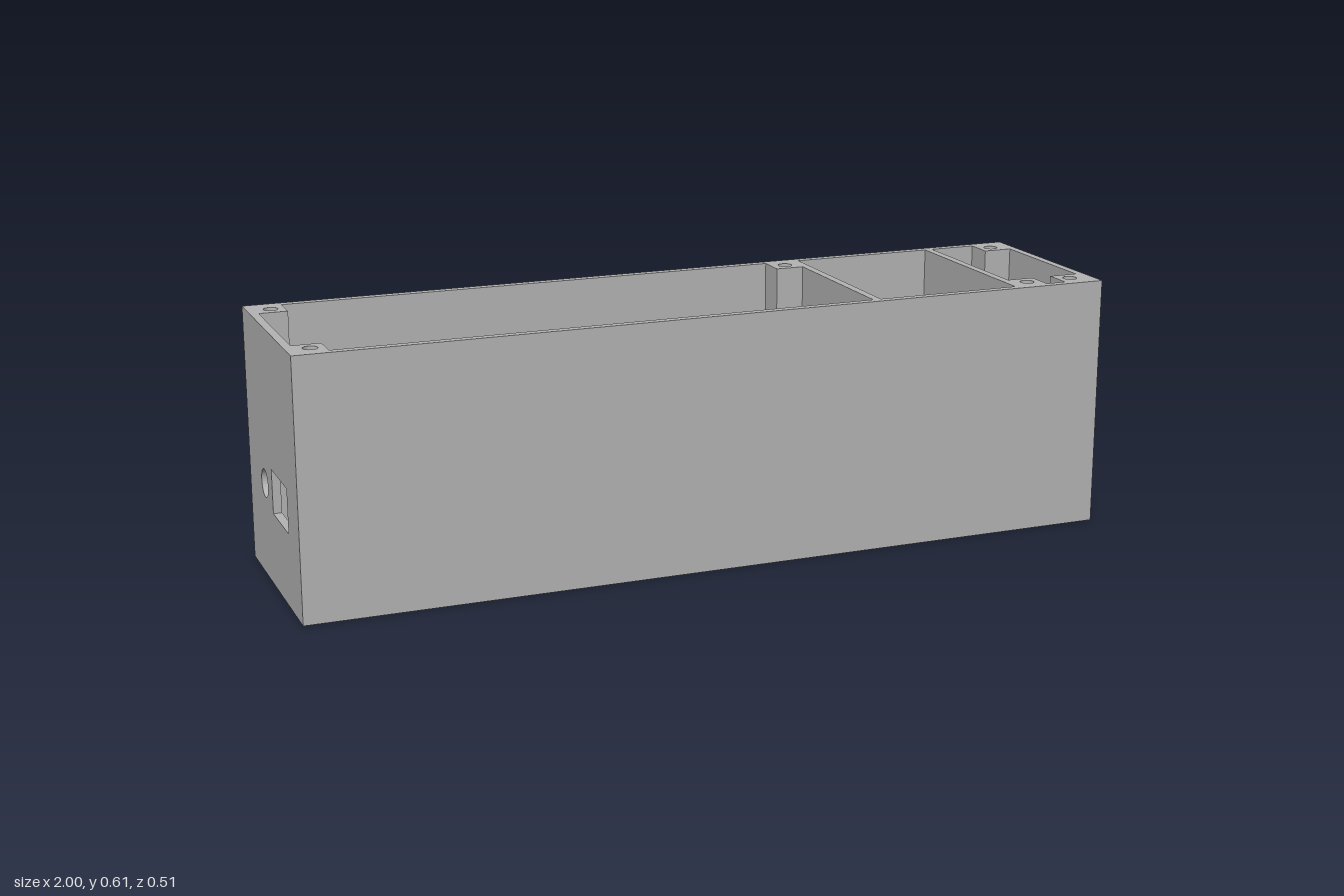
import * as THREE from 'three';

const H = 0.613, X = 1, Z = 0.253, T = 0.02; // height, half length, half depth, wall thickness

export function createModel() {
  const group = new THREE.Group();
  const grey = new THREE.MeshStandardMaterial({ color: 0xb4b4b4 });
  grey.name = 'plain grey';

  const add = (name, geometry) => {
    const mesh = new THREE.Mesh(geometry, grey);
    mesh.name = name;
    group.add(mesh);
  };
  const box = (name, x0, x1, y0, y1, z0, z1) => add(name,
    new THREE.BoxGeometry(x1 - x0, y1 - y0, z1 - z0)
      .translate((x0 + x1) / 2, (y0 + y1) / 2, (z0 + z1) / 2));
  const rect = (x0, x1, y0, y1) => new THREE.Shape([
    new THREE.Vector2(x0, y0), new THREE.Vector2(x1, y0),
    new THREE.Vector2(x1, y1), new THREE.Vector2(x0, y1)]);
  const circle = (x, y, r) => new THREE.Path().absarc(x, y, r, 0, Math.PI * 2, true);
  const extrude = (shape, depth) =>
    new THREE.ExtrudeGeometry(shape, { depth, bevelEnabled: false, curveSegments: 16 });
  // Extrude a plan drawn in (x, z) between two heights
  const slab = (name, shape, y0, y1) =>
    add(name, extrude(shape, y1 - y0).rotateX(Math.PI / 2).translate(0, y1, 0));

  // Back wall with arch and screw holes
  const back = new THREE.Shape();
  back.moveTo(-X, 0);
  back.lineTo(0.41, 0);
  back.lineTo(0.41, 0.15);
  back.absarc(0.59, 0.15, 0.18, Math.PI, 0, true);
  back.lineTo(0.77, 0);
  back.lineTo(X, 0);
  back.lineTo(X, H);
  back.lineTo(-X, H);
  back.closePath();
  for (const [x, y, r] of [[0.86, 0.485, 0.016], [0.953, 0.37, 0.016], [0.87, 0.105, 0.02],
    [0.348, 0.486, 0.016], [0.348, 0.074, 0.016]]) back.holes.push(circle(x, y, r));
  add('backWall', extrude(back, T).translate(0, 0, -Z));

  // Left end wall with round hole and square window
  const end = rect(-Z + T, Z - T, 0, H);
  end.holes.push(circle(-0.09, 0.23, 0.034), rect(-0.01, 0.145, 0.18, 0.285));
  add('windowEndWall', extrude(end, T).rotateY(-Math.PI / 2).translate(-X + T, 0, 0));

  // Plain walls and dividers
  box('frontWall', -X, X, 0, H, Z - T, Z);
  box('plainEndWall', X - T, X, 0, H, -Z + T, Z - T);
  for (const x of [0.39, 0.77]) box('divider', x, x + T, T, H, -Z + T, Z - T);

  // Floor with a large opening reaching the back wall
  const f = Z - T;
  const floor = new THREE.Shape([
    [-X + T, -f], [0.41, -f], [0.41, 0.207], [0.77, 0.207], [0.77, -f],
    [X - T, -f], [X - T, f], [-X + T, f]].map(([x, z]) => new THREE.Vector2(x, z)));
  for (const x of [-0.595, 0.198]) for (const z of [-0.185, 0.175]) floor.holes.push(circle(x, z, 0.015));
  for (const x of [-0.39, -0.065]) for (const z of [-0.21, 0.19]) {
    floor.holes.push(rect(x - 0.02, x + 0.02, z - 0.012, z + 0.012));
  }
  floor.holes.push(rect(0.24, 0.365, 0.1, 0.228), rect(0.81, 0.885, -0.12, 0.03));
  for (const z of [-0.143, 0.053]) floor.holes.push(circle(0.85, z, 0.01));
  for (const z of [-0.19, 0.19]) floor.holes.push(circle(0.94, z, 0.014));
  slab('floor', floor, 0, T);
  // Cut edges of the floor beside the arch
  for (const x of [0.39, 0.77]) box('archSideBase', x, x + T, 0, T, -f, 0.207);

  // U-shaped rail on the floor
  box('railLeft', 0.075, 0.097, T, 0.06, -0.168, 0.175);
  box('railRight', -0.552, -0.53, T, 0.06, -0.168, 0.175);
  box('railBack', -0.552, 0.097, T, 0.06, -0.19, -0.168);

  // Screw posts with blind holes at the top, and at the bottom where needed
  const post = (x0, x1, z0, z1, hx, hz, low) => {
    const plan = (r, z) => {
      const s = rect(x0, x1, z0, z1);
      s.holes.push(circle(hx, z, r));
      return s;
    };
    slab('screwPostTop', plan(0.017, hz), H - 0.15, H);
    box('screwPost', x0, x1, low ? 0.12 : T, H - 0.15, z0, z1);
    if (low) slab('screwPostFoot', plan(0.014, Math.sign(hz) * 0.19), T, 0.12);
  };
  for (const s of [-1, 1]) {
    const z0 = s > 0 ? 0.163 : -f, z1 = s > 0 ? f : -0.163;
    post(-X + T, -0.912, z0, z1, -0.945, s * 0.198, false);
    post(0.908, X - T, z0, z1, 0.942, s * 0.198, true);
  }
  post(0.32, 0.39, -f, -0.163, 0.357, -0.198, false);
  post(0.79, 0.858, 0.163, f, 0.823, 0.198, false);

  // Cable collar inside the back wall
  const collar = new THREE.Shape().absarc(0.87, 0.105, 0.032, 0, Math.PI * 2, false);
  collar.holes.push(circle(0.87, 0.105, 0.02));
  add('cableCollar', extrude(collar, 0.04).translate(0, 0, -f));

  return group;
}
